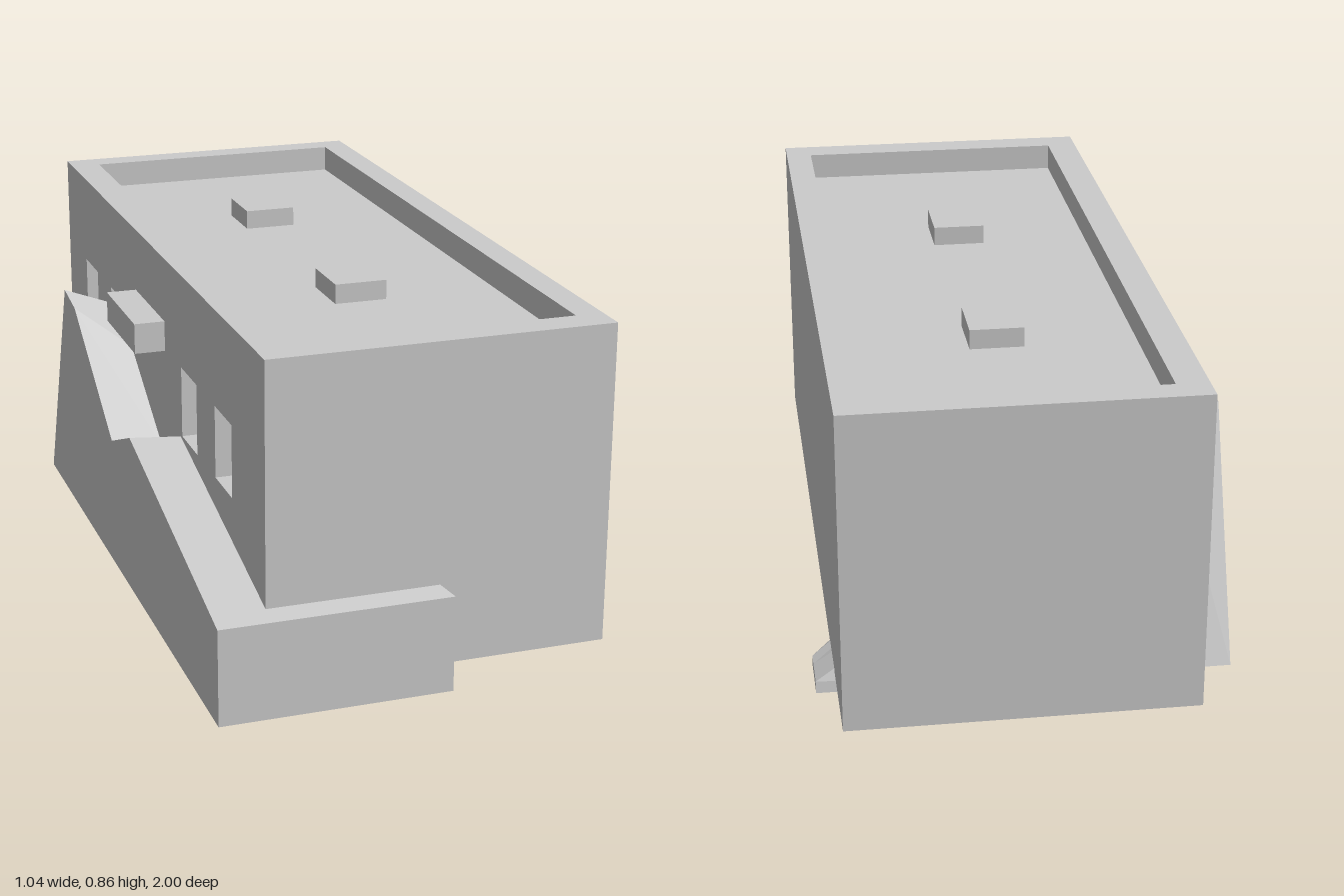
import * as THREE from 'three';

const material = new THREE.MeshStandardMaterial({ color: 0xcccccc, flatShading: true });

function addMesh(group, name, geometry) {
  const mesh = new THREE.Mesh(geometry, material);
  mesh.name = name;
  group.add(mesh);
  return mesh;
}

// Box given by its lower and upper corners
function addBox(group, name, [x0, y0, z0], [x1, y1, z1]) {
  const geometry = new THREE.BoxGeometry(x1 - x0, y1 - y0, z1 - z0);
  geometry.translate((x0 + x1) / 2, (y0 + y1) / 2, (z0 + z1) / 2);
  return addMesh(group, name, geometry);
}

function rectangle(PathType, x0, y0, x1, y1) {
  return new PathType([[x0, y0], [x1, y0], [x1, y1], [x0, y1]].map(p => new THREE.Vector2(...p)));
}

// Solid through closed [z, y] sections placed along x, with both ends capped
function loft(stations) {
  const rings = stations.map(({ x, section }) => section.map(([z, y]) => [x, y, z]));
  const positions = [];
  const tri = (...corners) => corners.forEach(c => positions.push(...c));
  const n = rings[0].length;
  for (let i = 0; i < rings.length - 1; i++) {
    for (let j = 0; j < n; j++) {
      const k = (j + 1) % n;
      const a = rings[i][j], b = rings[i][k], c = rings[i + 1][k], d = rings[i + 1][j];
      tri(a, b, c);
      tri(a, c, d);
    }
  }
  const first = rings[0], last = rings[rings.length - 1];
  for (let j = 1; j < n - 1; j++) {
    tri(first[0], first[j + 1], first[j]);
    tri(last[0], last[j], last[j + 1]);
  }
  const geometry = new THREE.BufferGeometry();
  geometry.setAttribute('position', new THREE.Float32BufferAttribute(positions, 3));
  geometry.computeVertexNormals();
  return geometry;
}

export function createModel() {
  const model = new THREE.Group();
  model.name = 'building';
  const left = 0.47, right = -0.39, back = -1, front = 0.95;
  const bottom = 0.05, roof = 0.79, top = 0.86, recess = 0.05;

  // Main block, behind the window wall
  addBox(model, 'mainBlock', [right + recess, bottom, back], [left, roof, front]);

  // Side wall with four window openings
  const wall = rectangle(THREE.Shape, back, bottom, front, roof);
  for (const z of [-0.785, -0.485, 0.25, 0.55]) {
    wall.holes.push(rectangle(THREE.Path, z, 0.43, z + 0.14, 0.615));
  }
  const wallGeometry = new THREE.ExtrudeGeometry(wall, { depth: recess, bevelEnabled: false });
  wallGeometry.rotateY(-Math.PI / 2).translate(right + recess, 0, 0);
  addMesh(model, 'windowWall', wallGeometry);

  // Parapet around the sunken roof
  const rim = rectangle(THREE.Shape, right, -front, left, -back);
  rim.holes.push(rectangle(THREE.Path, -0.31, -0.87, 0.4, 0.93));
  const rimGeometry = new THREE.ExtrudeGeometry(rim, { depth: top - roof, bevelEnabled: false });
  rimGeometry.rotateX(-Math.PI / 2).translate(0, roof, 0);
  addMesh(model, 'parapet', rimGeometry);

  // Roof vents and the box on the window wall
  for (const z of [-0.5, 0.243]) {
    addBox(model, 'roofVent', [-0.03, roof, z], [0.105, 0.84, z + 0.152]);
  }
  addBox(model, 'wallBox', [-0.47, 0.61, -0.2], [right, 0.69, 0.095]);

  // Rear ground mound, falling away under the building to its left side
  addMesh(model, 'rearMound', loft([
    { x: -0.52, section: [[-0.745, 0], [-0.5, 0.615], [-0.38, 0.597], [0.02, 0.35], [0.02, 0]] },
    { x: -0.39, section: [[-0.745, 0], [-0.525, 0.56], [-0.26, 0.51], [0.045, 0.33], [0.02, 0]] },
    { x: -0.23, section: [[-0.744, 0], [-0.56, 0.465], [-0.2, 0.42], [0.04, 0.32], [0.016, 0]] },
    { x: 0.517, section: [[-0.74, 0], [-0.735, 0.03], [-0.65, 0.03], [-0.61, 0.03], [-0.605, 0]] },
  ]));

  // Front ground mound, tapering to the front corner
  addMesh(model, 'frontMound', loft([
    { x: -0.52, section: [[0.02, 0], [0.02, 0.35], [0.215, 0.428], [1, 0.245], [1, 0]] },
    { x: -0.39, section: [[0.02, 0], [0.045, 0.33], [0.235, 0.424], [1, 0.245], [1, 0]] },
    { x: -0.23, section: [[0.016, 0], [0.04, 0.32], [0.26, 0.418], [1, 0.245], [1, 0]] },
    { x: 0.06, section: [[1, 0], [1, 0.245], [1, 0.245], [1, 0.245], [1, 0]] },
  ]));

  return model;
}
